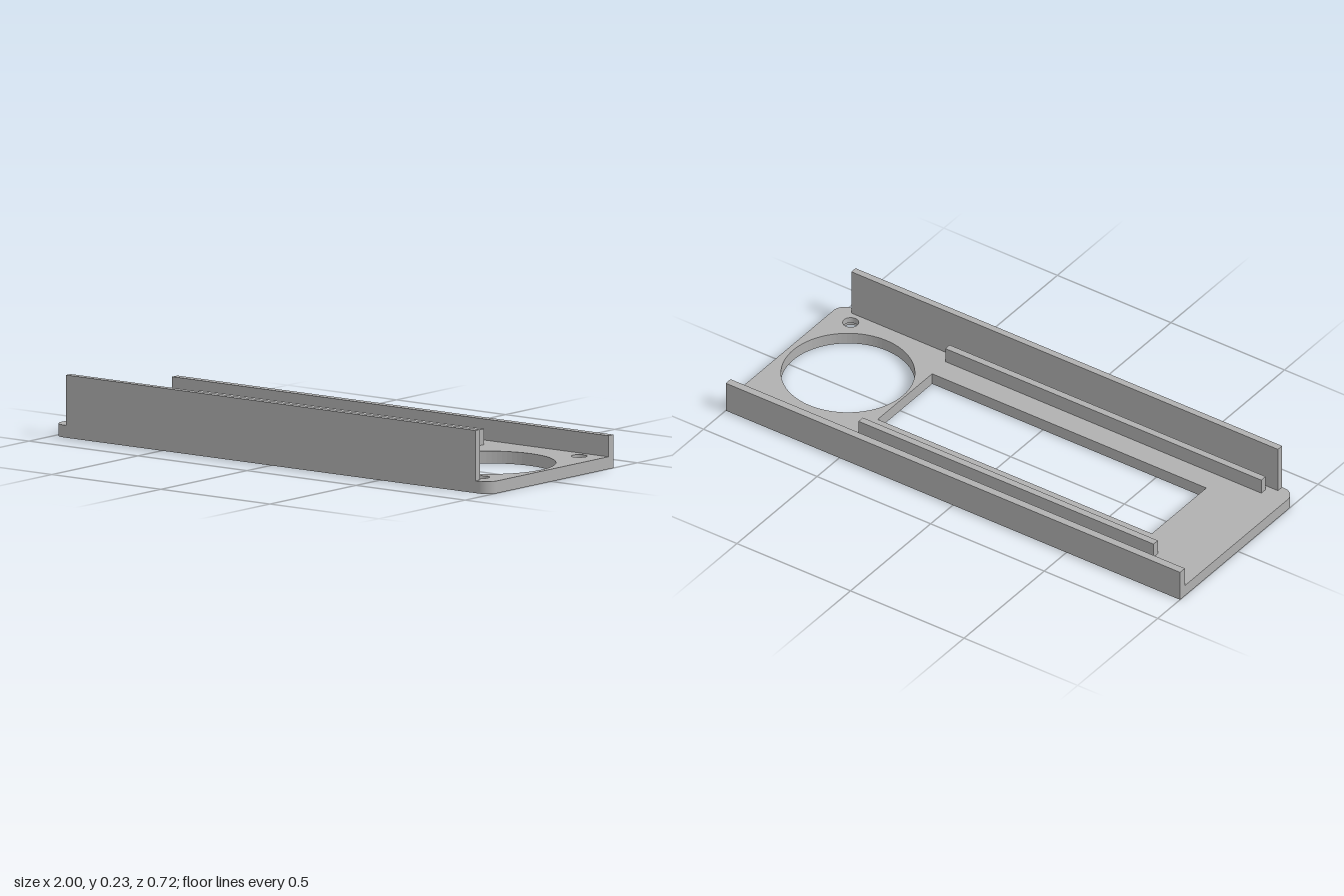
import * as THREE from 'three';

const PLATE = 0.045, STEP = 0.022;

// Plate outline: square back corners, rounded front corners (shape y = -z)
function plateShape(screwRadius) {
  const w = 1, d = 0.361, r = 0.05;
  const shape = new THREE.Shape();
  shape.moveTo(-w, d);
  shape.lineTo(-w, -d + r);
  shape.absarc(-w + r, -d + r, r, Math.PI, Math.PI * 1.5, false);
  shape.lineTo(w - r, -d);
  shape.absarc(w - r, -d + r, r, Math.PI * 1.5, Math.PI * 2, false);
  shape.lineTo(w, d);
  shape.closePath();

  // Rectangular window
  const win = new THREE.Path();
  win.moveTo(-0.72, 0.14);
  win.lineTo(0.487, 0.14);
  win.lineTo(0.487, -0.2);
  win.lineTo(-0.72, -0.2);
  win.closePath();
  shape.holes.push(win);

  // Large round opening and three screw holes: x, z, radius
  const circles = [
    [0.738, 0.03, 0.241],
    [-0.91, -0.28, screwRadius],
    [0.907, -0.28, screwRadius],
    [0.907, 0.287, screwRadius],
  ];
  for (const [x, z, r2] of circles) {
    const hole = new THREE.Path();
    hole.absarc(x, -z, r2, 0, Math.PI * 2, true);
    shape.holes.push(hole);
  }
  return shape;
}

export function createModel() {
  const group = new THREE.Group();
  const grey = new THREE.MeshStandardMaterial({ color: 0xb0b0b0 });
  grey.name = 'grey';

  const add = (name, geometry) => {
    const mesh = new THREE.Mesh(geometry, grey);
    mesh.name = name;
    group.add(mesh);
  };

  // Plate in two layers, the lower one with wider recesses for screw heads
  const layer = (name, y, height, screwRadius) => {
    const geo = new THREE.ExtrudeGeometry(plateShape(screwRadius), {
      depth: height, bevelEnabled: false, curveSegments: 40,
    });
    geo.rotateX(-Math.PI / 2);
    geo.translate(0, y, 0);
    add(name, geo);
  };
  layer('plateLower', 0, STEP, 0.046);
  layer('plateUpper', STEP, PLATE - STEP, 0.029);

  // Upright walls and ribs: name, x range, z range, top
  const uprights = [
    ['frontWall', -0.94, 0.938, 0.335, 0.361, 0.229],
    ['backWall', -1, 1, -0.361, -0.331, 0.122],
    ['frontRib', -0.9, 0.491, 0.288, 0.315, 0.103],
    ['backRib', -0.808, 0.491, -0.254, -0.227, 0.103],
  ];
  for (const [name, x0, x1, z0, z1, top] of uprights) {
    const geo = new THREE.BoxGeometry(x1 - x0, top - PLATE, z1 - z0);
    geo.translate((x0 + x1) / 2, (top + PLATE) / 2, (z0 + z1) / 2);
    add(name, geo);
  }
  return group;
}
